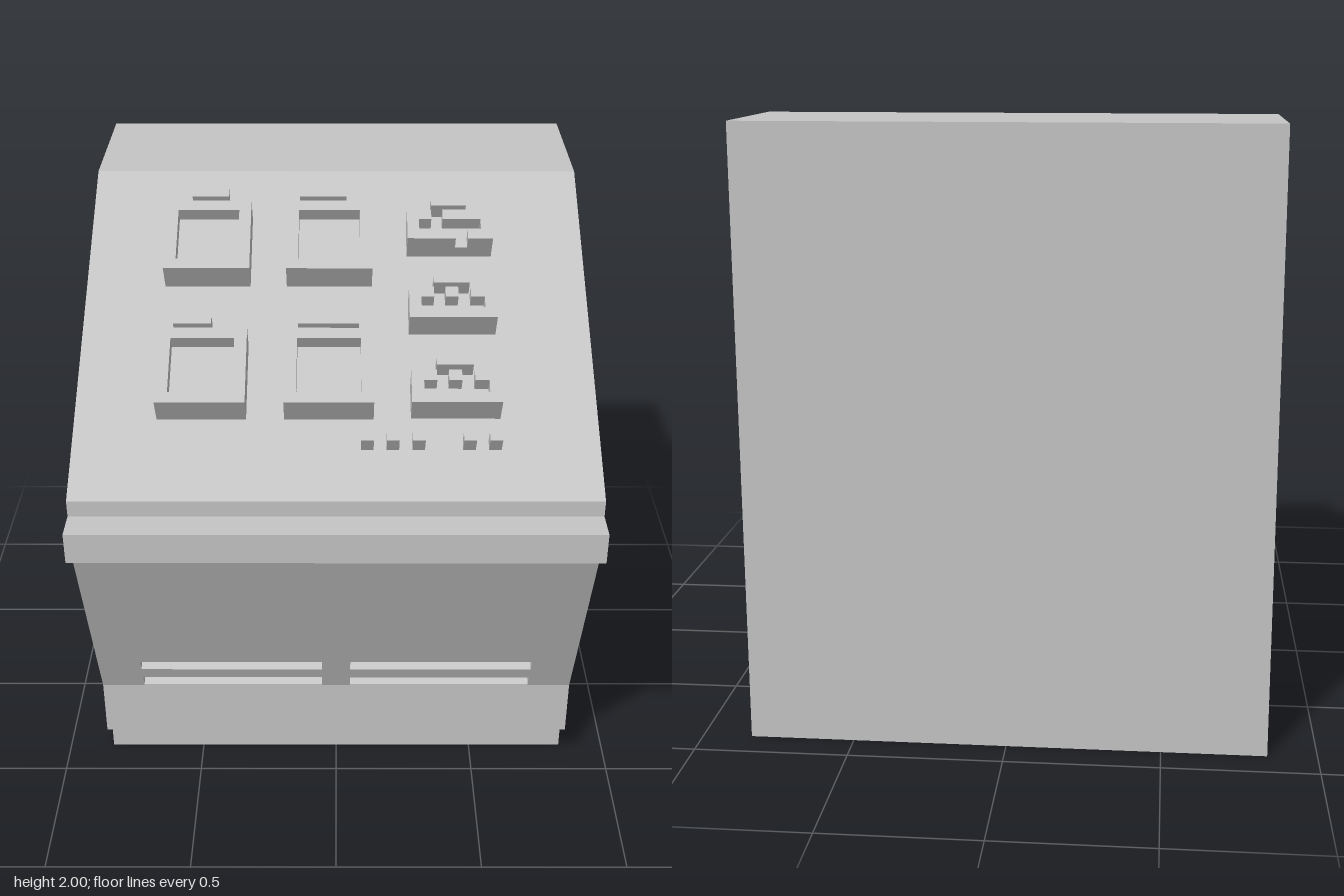
import * as THREE from 'three';

const grey = new THREE.MeshStandardMaterial({ color: 0xc4c4c4 });
grey.name = 'light grey';

const HALF = 0.84;
// Sloping desk: lower front edge at (z 0.79, y 1.35), upper back edge at (z -0.37, y 2)
const TILT = Math.atan2(0.65, 1.16);

function add(parent, name, geometry) {
  const mesh = new THREE.Mesh(geometry, grey);
  mesh.name = name;
  parent.add(mesh);
  return mesh;
}

// Box given by its ranges in x, height above the desk, and distance s up the slope
function block(parent, name, x0, x1, h0, h1, s0, s1) {
  const mesh = add(parent, name, new THREE.BoxGeometry(x1 - x0, h1 - h0, s1 - s0));
  mesh.position.set((x0 + x1) / 2, (h0 + h1) / 2, -(s0 + s1) / 2);
  return mesh;
}

// Slice of the cabinet between x0 and x1, with louvre notches in the kick panel if vented
function cabinetSlice(parent, x0, x1, vented) {
  const panelZ = (y) => 0.47 + (y - 0.37) * (0.32 / 0.77);
  const profile = [[-0.89, 0], [0.365, 0], [0.365, 0.162], [0.47, 0.162], [0.47, 0.37]];
  if (vented) {
    for (const y of [0.373, 0.475]) {
      profile.push([panelZ(y), y], [panelZ(y) - 0.06, y + 0.04],
        [panelZ(y) - 0.06, y + 0.049], [panelZ(y + 0.049), y + 0.049]);
    }
  }
  profile.push([0.79, 1.14], [0.79, 1.19], [0.895, 1.19], [0.895, 1.295],
    [0.79, 1.295], [0.79, 1.35], [-0.37, 2], [-0.89, 2]);
  const shape = new THREE.Shape(profile.map(([z, y]) => new THREE.Vector2(-z, y)));
  const geo = new THREE.ExtrudeGeometry(shape, { depth: x1 - x0, bevelEnabled: false });
  geo.rotateY(Math.PI / 2).translate(x0, 0, 0);
  add(parent, vented ? 'louvredCabinetSection' : 'cabinetSection', geo);
}

// Square display housing with a recessed screen
function display(parent, x, s) {
  const g = new THREE.Group();
  g.name = 'display';
  g.position.set(x, 0, -s);
  const a = 0.1435, b = 0.103;
  const square = (r) => [[-r, -r], [r, -r], [r, r], [-r, r]].map(([u, v]) => new THREE.Vector2(u, v));
  const rim = new THREE.Shape(square(a));
  rim.holes.push(new THREE.Path(square(b)));
  const geo = new THREE.ExtrudeGeometry(rim, { depth: 0.05, bevelEnabled: false });
  geo.rotateX(-Math.PI / 2).translate(0, 0.05, 0);
  add(g, 'displayRim', geo);
  block(g, 'displayBase', -a, a, 0, 0.05, -a, a);
  parent.add(g);
}

// Switch box whose top has a cross groove, with gates cut out to the back and front
function switchBox(parent, s, backGates, frontGates) {
  const g = new THREE.Group();
  g.name = 'switchBox';
  g.position.z = -s;
  const x0 = 0.24, x1 = 0.527, half = 0.061, groove = 0.021;
  block(g, 'switchBase', x0, x1, 0, 0.05, -half, half);
  const row = (gates, s0, s1) => {
    let start = x0;
    for (const [from, to] of [...gates, [x1, x1]]) {
      block(g, 'switchTop', start, from, 0.05, 0.1, s0, s1);
      start = to;
    }
  };
  row(backGates, groove, half);
  row([[0.28, 0.488]], -groove, groove);
  row(frontGates, -half, -groove);
  parent.add(g);
}

export function createModel() {
  const model = new THREE.Group();
  model.name = 'controlConsole';

  // Cabinet, sliced where the louvres start and stop
  const cuts = [-HALF, -0.69, -0.05, 0.05, 0.69, HALF];
  for (let i = 0; i < 5; i++) cabinetSlice(model, cuts[i], cuts[i + 1], i % 2 === 1);

  // Controls, laid out on the sloping desk
  const desk = new THREE.Group();
  desk.name = 'deskControls';
  desk.position.set(0, 1.35, 0.79);
  desk.rotation.x = TILT;
  model.add(desk);

  for (const s of [0.444, 0.971]) for (const x of [-0.432, -0.023]) display(desk, x, s);

  const left = [0.322, 0.36], right = [0.402, 0.443];
  switchBox(desk, 0.364, [left, right], []);
  switchBox(desk, 0.692, [left, right], []);
  switchBox(desk, 1.014, [left], [right]);

  // Label plates above each unit: x range and upper edge
  const plates = [
    [-0.495, -0.37, 1.198], [-0.125, 0.035, 1.198], [-0.535, -0.41, 0.665], [-0.125, 0.075, 0.665],
    [0.325, 0.445, 0.505], [0.325, 0.445, 0.831], [0.325, 0.445, 1.158],
  ];
  for (const [x0, x1, s] of plates) block(desk, 'labelPlate', x0, x1, 0, 0.062, s - 0.034, s);

  // Row of push buttons
  for (const x of [0.099, 0.18, 0.262, 0.423, 0.505]) {
    block(desk, 'pushButton', x - 0.02, x + 0.02, 0, 0.057, 0.187, 0.221);
  }
  return model;
}
